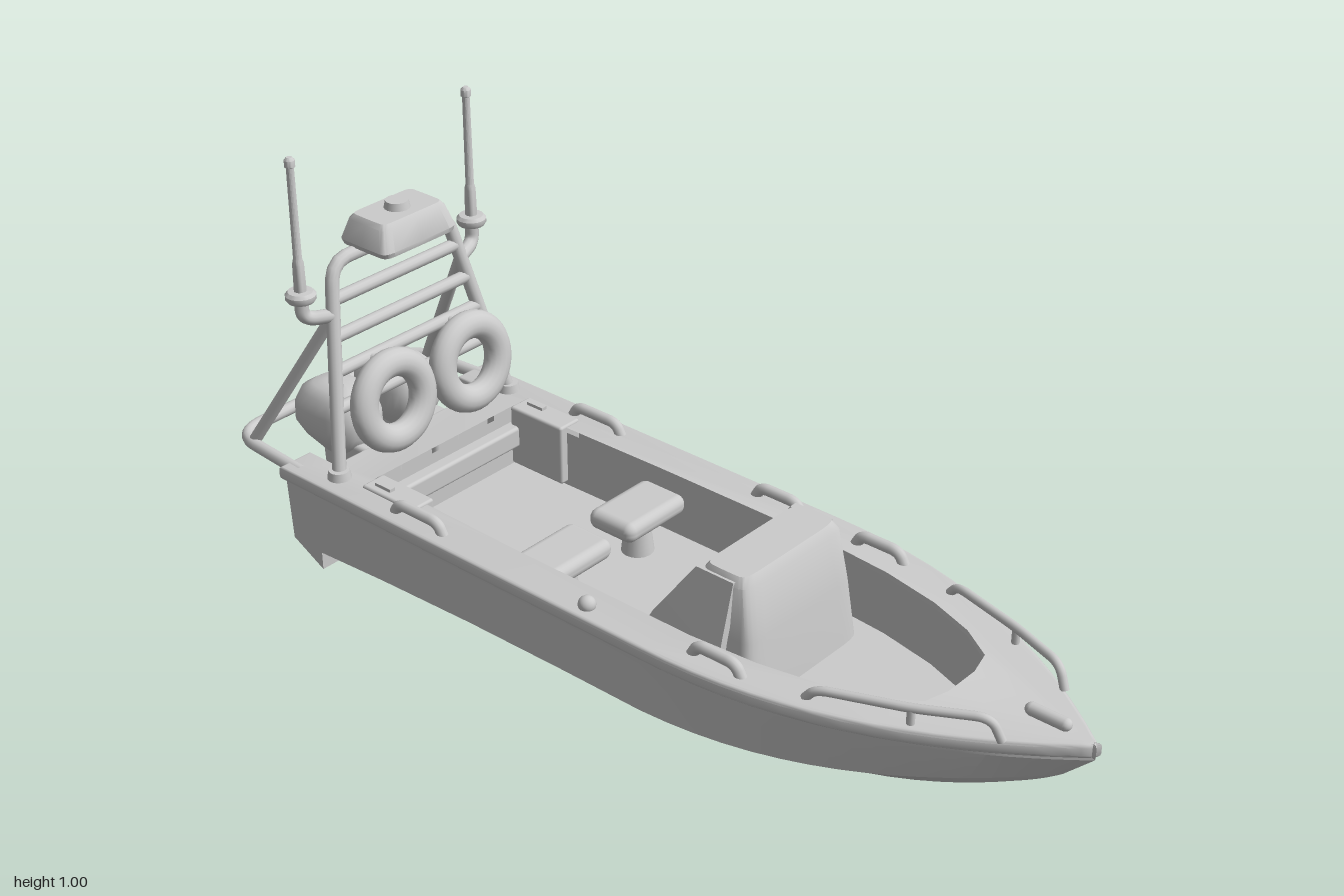
import * as THREE from 'three';
import { toCreasedNormals } from 'three/addons/utils/BufferGeometryUtils.js';
import { RoundedBoxGeometry } from 'three/addons/geometries/RoundedBoxGeometry.js';

const grey = new THREE.MeshStandardMaterial({ color: 0xcccccc });
const greyDouble = new THREE.MeshStandardMaterial({ color: 0xcccccc, side: THREE.DoubleSide });
const V = (p) => new THREE.Vector3(...p);

export function createModel() {
  const boat = new THREE.Group();
  boat.name = 'patrolBoat';

  const add = (name, geo, pos = [0, 0, 0], rot = [0, 0, 0], parent = boat, mat = grey) => {
    const m = new THREE.Mesh(geo, mat);
    m.name = name;
    m.position.set(...pos);
    m.rotation.set(...rot);
    parent.add(m);
    return m;
  };

  // Skin a list of equal-length rows of points
  const loft = (rows, closed, crease = 0.6) => {
    const n = rows[0].length, index = [];
    for (let i = 0; i < rows.length - 1; i++)
      for (let j = 0; j < (closed ? n : n - 1); j++) {
        const k = (j + 1) % n, a = i * n + j, b = i * n + k, c = a + n, d = b + n;
        index.push(a, c, b, b, c, d);
      }
    const g = new THREE.BufferGeometry();
    g.setAttribute('position', new THREE.Float32BufferAttribute(rows.flat(2), 3));
    g.setIndex(index);
    return toCreasedNormals(g, crease);
  };
  // Rounded horizontal ring: p = 1 is an ellipse, smaller is boxier
  const ring = (cx, y, cz, rx, rz, p = 1, n = 28) => Array.from({ length: n }, (_, i) => {
    const a = (i / n) * Math.PI * 2, f = (v) => Math.sign(v) * Math.abs(v) ** p;
    return [cx + rx * f(Math.cos(a)), y, cz + rz * f(Math.sin(a))];
  });
  // Solid from stacked rings, closed at both ends
  const solid = (rings, crease) => {
    const mid = (r) => {
      const c = [0, 1, 2].map((k) => r.reduce((s, p) => s + p[k], 0) / r.length);
      return r.map(() => c);
    };
    return loft([mid(rings[0]), ...rings, mid(rings[rings.length - 1])], true, crease);
  };
  // Bent pipe with rounded corners
  const pipe = (name, pts, r, bend = 0.04, parent = boat) => {
    const path = new THREE.CurvePath(), p = pts.map(V);
    let from = p[0];
    for (let i = 1; i < p.length - 1; i++) {
      const toward = (q) => p[i].clone().add(q.clone().sub(p[i]).setLength(Math.min(bend, q.distanceTo(p[i]) * 0.45)));
      const a = toward(p[i - 1]), b = toward(p[i + 1]);
      path.add(new THREE.LineCurve3(from, a));
      path.add(new THREE.QuadraticBezierCurve3(a, p[i], b));
      from = b;
    }
    path.add(new THREE.LineCurve3(from, p[p.length - 1]));
    return add(name, new THREE.TubeGeometry(path, pts.length > 2 ? 60 : 2, r, 12), [0, 0, 0], [0, 0, 0], parent, greyDouble);
  };

  // Hull: V bottom with a strake, hard chine and raked bow
  const bowT = (z) => Math.max(0, (z - 0.2) / 0.8);
  const beam = (z) => 0.3 * (1 - bowT(z) ** 2.2);
  const section = (z) => {
    const t = bowT(z), aft = Math.max(0, -z / 0.7) ** 2, w = beam(z), wc = w * (1 - 0.12 * t);
    const zl = z - 0.06 * t * t;
    const yk = 0.045 + 0.17 * Math.max(0, z) ** 4 + 0.025 * aft;
    const yc = 0.165 + 0.05 * t * t - 0.022 * aft;
    const half = [[w, 0.295, z], [w * 0.995, 0.275, z], [wc, yc, zl], [wc * 0.94, yc - 0.012 * (1 - t), zl],
      [wc * 0.62, yk + (yc - yk) * 0.5, zl]];
    return [...half, [0, yk, zl], ...half.map(([x, y, q]) => [-x, y, q]).reverse()];
  };
  const stations = [-0.71, -0.5, -0.25, 0, 0.2];
  for (let i = 1; i <= 20; i++) stations.push(0.2 + 0.8 * Math.sin((i / 20) * Math.PI / 2));
  const rows = stations.map(section);
  rows.unshift(rows[0].map(() => [0, 0.295, -0.71]));
  add('hull', loft(rows, false, 0.35), [0, 0, 0], [0, 0, 0], boat, greyDouble);

  // Deck with rounded rub rail and a cockpit opening
  const mirror = (pts) => [...pts, ...pts.map(([x, z]) => [-x, z]).reverse()];
  const toVec = (pts) => pts.map(([x, z]) => new THREE.Vector2(x, -z));
  const cockpit = mirror([[0.205, -0.61], [0.212, -0.2], [0.212, 0.25], [0.2, 0.4], [0.175, 0.53], [0.14, 0.63], [0.095, 0.7], [0.04, 0.715]]);
  const rim = [[0.225, -0.71], [0.225, -0.79], [0.295, -0.79]];
  stations.slice(4, -1).forEach((z) => rim.push([beam(z) - 0.004, z]));
  const deckShape = new THREE.Shape(toVec([...mirror(rim.concat([[0.004, 0.99]]))]));
  deckShape.holes.push(new THREE.Path(toVec(cockpit)));
  const deck = new THREE.ExtrudeGeometry(deckShape, { depth: 0.016, bevelSize: 0.008, bevelThickness: 0.008, bevelSegments: 3 });
  add('deck', toCreasedNormals(deck.rotateX(-Math.PI / 2), 0.6), [0, 0.288, 0]);

  // Cockpit well
  const floorY = 0.17;
  add('cockpitWalls', loft([0.3, floorY].map((y) => cockpit.map(([x, z]) => [x, y, z])), true), [0, 0, 0], [0, 0, 0], boat, greyDouble);
  add('cockpitFloor', new THREE.ShapeGeometry(new THREE.Shape(toVec(cockpit))).rotateX(-Math.PI / 2), [0, floorY, 0], [0, 0, 0], boat, greyDouble);
  add('sternLedge', new RoundedBoxGeometry(0.4, 0.05, 0.04, 2, 0.008), [0, 0.25, -0.6]);

  // Helm console with flared side wings and a wheel
  add('console', solid([ring(0, floorY, 0.28, 0.172, 0.085, 0.25), ring(0, 0.3, 0.275, 0.16, 0.075, 0.25),
    ring(0, 0.41, 0.27, 0.15, 0.06, 0.25), ring(0, 0.428, 0.27, 0.138, 0.048, 0.25)], 0.7));
  for (const s of [1, -1]) {
    const quad = (y, x, z0, z1) => [[x, y, z0], [x, y, z1], [x - 0.018, y, z1], [x - 0.018, y, z0]].map(([a, b, c]) => [s * a, b, c]);
    add('consoleWing', solid([quad(floorY, 0.208, 0.07, 0.3), quad(0.3, 0.182, 0.13, 0.3), quad(0.418, 0.15, 0.21, 0.3)], 0.5),
      [0, 0, 0], [0, 0, 0], boat, greyDouble);
  }
  const wheel = new THREE.Group();
  wheel.name = 'steeringWheel';
  wheel.position.set(0, 0.35, 0.185);
  wheel.rotation.x = 0.25;
  boat.add(wheel);
  add('wheelRim', new THREE.TorusGeometry(0.042, 0.007, 10, 28), [0, 0, 0], [0, 0, 0], wheel);
  for (let i = 0; i < 3; i++)
    add('wheelSpoke', new THREE.BoxGeometry(0.08, 0.008, 0.006), [0, 0, 0], [0, 0, i * Math.PI / 3], wheel);
  add('wheelHub', new THREE.CylinderGeometry(0.012, 0.012, 0.05, 14), [0, 0, 0.018], [Math.PI / 2, 0, 0], wheel);

  // Fittings that repeat on both sides
  for (const s of [1, -1]) {
    add('seatCushion', new RoundedBoxGeometry(0.18, 0.045, 0.12, 3, 0.02), [s * 0.113, 0.262, -0.17]);
    add('seatPedestal', new THREE.CylinderGeometry(0.025, 0.035, 0.08, 16), [s * 0.113, 0.21, -0.17]);
    add('sternLocker', new RoundedBoxGeometry(0.06, 0.14, 0.15, 2, 0.006), [s * 0.218, 0.248, -0.53]);
    add('lockerLatch', new THREE.BoxGeometry(0.014, 0.01, 0.045), [s * 0.225, 0.32, -0.56]);
    const wing = new THREE.Shape([[0.69, 0.1], [0.775, 0.145], [0.785, 0.29], [0.69, 0.29]].map((p) => new THREE.Vector2(...p)));
    add('sternWing', new THREE.ExtrudeGeometry(wing, { depth: 0.076, bevelEnabled: false }).rotateY(Math.PI / 2), [s * 0.259 - 0.038, 0, 0]);

    pipe('bowRail', [[s * 0.225, 0.31, 0.53], [s * 0.22, 0.335, 0.55], [s * 0.165, 0.345, 0.72], [s * 0.108, 0.355, 0.85], [s * 0.1, 0.31, 0.87]], 0.009, 0.03);
    pipe('bowRailPost', [[s * 0.165, 0.345, 0.72], [s * 0.165, 0.305, 0.72]], 0.008);
    const handles = [[0.345, 0.06, 0.25], [-0.42, 0.07, 0.265]];
    if (s > 0) handles.push([0.08, 0.06, 0.263]);
    for (const [z, h, x] of handles)
      pipe('grabHandle', [[s * x, 0.305, z - h], [s * x, 0.332, z - h + 0.015], [s * x, 0.332, z + h - 0.015], [s * x, 0.305, z + h]], 0.012, 0.02);
  }
  add('deckKnob', new THREE.SphereGeometry(0.018, 16, 12), [-0.268, 0.318, 0.04]);
  add('bowCleat', new THREE.CapsuleGeometry(0.013, 0.07, 6, 14), [0, 0.322, 0.9], [Math.PI / 2, 0, 0]);

  // Stern guard rail
  pipe('sternGuard', [[0.275, 0.3, -0.76], [0.258, 0.3, -0.985], [-0.258, 0.3, -0.985], [-0.275, 0.3, -0.76]], 0.014, 0.07);

  // Mast arch, crossbars, rear struts and antennas
  const legAt = (y) => {
    const t = (y - 0.31) / 0.435;
    return [0.25 - 0.09 * t, y, -0.67 - 0.08 * t];
  };
  const flip = ([x, y, z]) => [-x, y, z];
  pipe('mastArch', [legAt(0.3), legAt(0.745), flip(legAt(0.745)), flip(legAt(0.3))], 0.015, 0.045);
  for (const y of [0.67, 0.595, 0.525, 0.45]) pipe('crossbar', [legAt(y), flip(legAt(y))], 0.014);
  for (const s of [1, -1]) {
    const side = ([x, y, z]) => [s * x, y, z];
    pipe('rearStrut', [side(legAt(0.64)), [s * 0.255, 0.305, -0.93]], 0.013);
    add('legFoot', new THREE.CylinderGeometry(0.022, 0.026, 0.02, 18), [s * 0.25, 0.32, -0.67]);
    pipe('antennaBracket', [side(legAt(0.64)), [s * 0.242, 0.645, -0.755], [s * 0.242, 0.7, -0.755]], 0.015, 0.04);
    const antenna = [[0, 0.688], [0.028, 0.688], [0.032, 0.694], [0.032, 0.703], [0.026, 0.71], [0.013, 0.711], [0.012, 0.77],
      [0.009, 0.782], [0.008, 0.978], [0.011, 0.98], [0.011, 0.994], [0.006, 1], [0, 1]];
    const lathe = new THREE.LatheGeometry(antenna.map((p) => new THREE.Vector2(...p)), 18);
    add('antenna', toCreasedNormals(lathe, 0.7), [s * 0.242, 0, -0.755]);
    // Lifebuoys leaning against the arch
    const buoy = add('lifebuoy', new THREE.TorusGeometry(0.081, 0.031, 16, 40), [s * 0.112, 0.447, -0.642], [-0.15, 0, 0]);
    buoy.scale.z = 0.9;
    pipe('buoyHook', [[s * 0.112, 0.525, -0.655], [s * 0.112, 0.525, -0.71]], 0.01);
  }

  // Radar housing on the arch
  add('radarMount', new THREE.CylinderGeometry(0.035, 0.022, 0.035, 18), [0, 0.742, -0.735]);
  add('radarHousing', solid([ring(0, 0.757, -0.72, 0.1, 0.068, 0.2), ring(0, 0.768, -0.72, 0.104, 0.071, 0.2),
    ring(0, 0.812, -0.72, 0.09, 0.056, 0.2), ring(0, 0.822, -0.72, 0.082, 0.048, 0.2)], 0.6));
  add('radarCap', new THREE.CylinderGeometry(0.024, 0.028, 0.018, 20), [0, 0.829, -0.72]);

  // Twin outboard engines
  for (const s of [1, -1]) {
    const engine = new THREE.Group();
    engine.name = 'outboardEngine';
    engine.position.set(s * 0.086, 0, 0);
    boat.add(engine);
    const part = (name, geo, pos, rot) => add(name, geo, pos, rot, engine);
    part('cowl', solid([ring(0, 0.25, -0.84, 0.035, 0.055, 0.8), ring(0, 0.285, -0.845, 0.06, 0.085, 0.7), ring(0, 0.31, -0.85, 0.07, 0.1, 0.7),
      ring(0, 0.35, -0.85, 0.07, 0.098, 0.7), ring(0, 0.385, -0.847, 0.06, 0.082, 0.7), ring(0, 0.403, -0.843, 0.042, 0.058, 0.7),
      ring(0, 0.409, -0.84, 0.02, 0.03, 0.8)], 0.8));
    part('driveLeg', solid([ring(0, 0.09, -0.855, 0.016, 0.04), ring(0, 0.14, -0.85, 0.02, 0.045), ring(0, 0.27, -0.84, 0.034, 0.055)], 0.8));
    part('transomBracket', new RoundedBoxGeometry(0.075, 0.12, 0.12, 2, 0.01), [0, 0.235, -0.755]);
    part('cavitationPlate', solid([ring(0, 0.118, -0.845, 0.042, 0.085), ring(0, 0.128, -0.845, 0.042, 0.085)]));
    part('gearcase', new THREE.CapsuleGeometry(0.02, 0.11, 6, 16), [0, 0.088, -0.85], [Math.PI / 2, 0, 0]);
    const skeg = new THREE.Shape([[0.795, 0.09], [0.855, 0.004], [0.878, 0], [0.888, 0.09]].map((p) => new THREE.Vector2(...p)));
    part('skeg', new THREE.ExtrudeGeometry(skeg, { depth: 0.014, bevelEnabled: false }).rotateY(Math.PI / 2), [-0.007, 0, 0]);
    part('propellerHub', new THREE.CylinderGeometry(0.016, 0.01, 0.045, 16), [0, 0.088, -0.93], [Math.PI / 2, 0, 0]);
    for (let i = 0; i < 3; i++) {
      const blade = new THREE.SphereGeometry(1, 14, 10).scale(0.018, 0.022, 0.004).rotateY(0.6).translate(0, 0.026, 0);
      part('propellerBlade', blade, [0, 0.088, -0.928], [0, 0, s * (i * Math.PI * 2 / 3 + 0.5)]);
    }
  }
  return boat;
}
